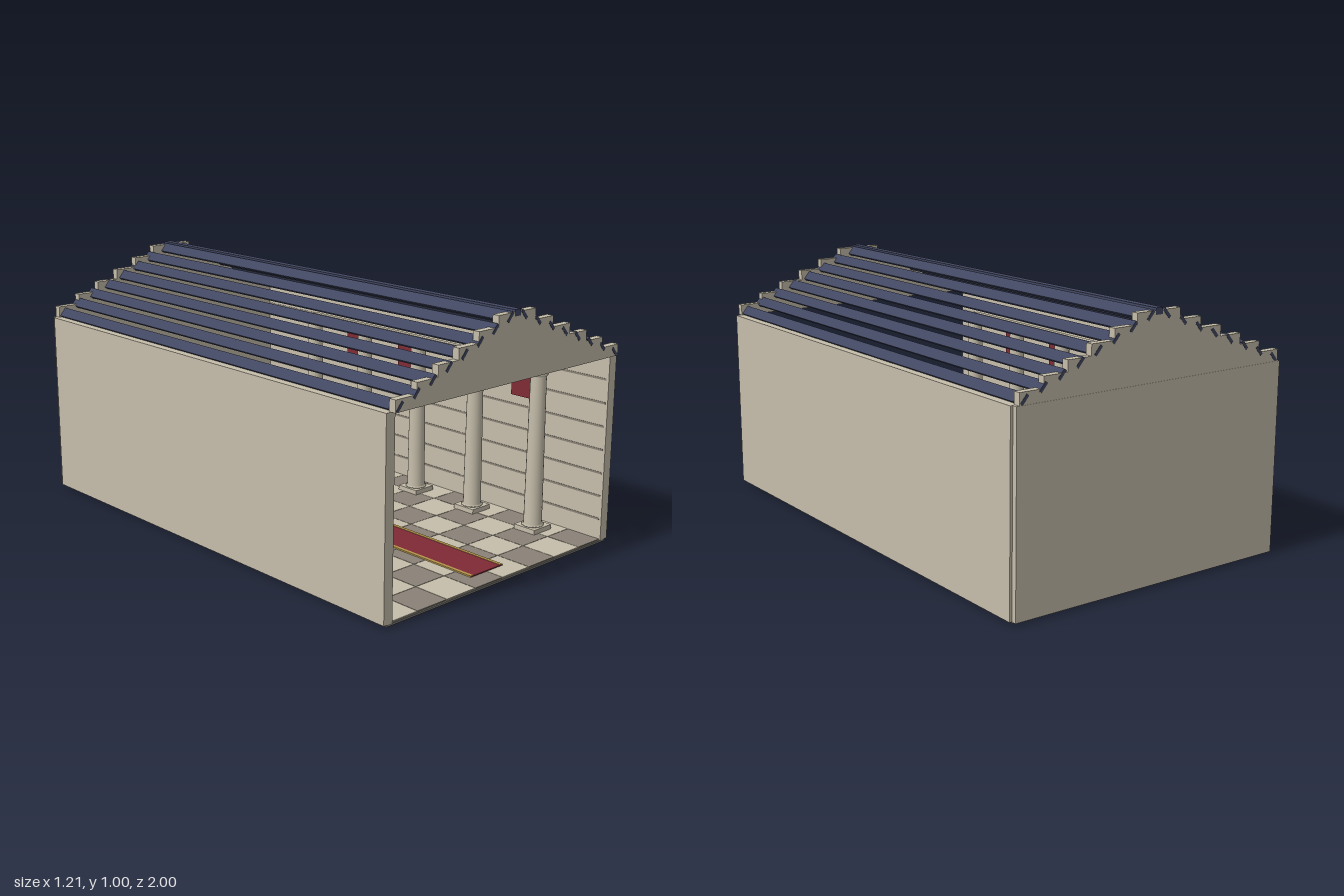
import * as THREE from 'three';

export function createModel() {
  const root = new THREE.Group();
  const mat = (name, color) => {
    const m = new THREE.MeshStandardMaterial({ color });
    m.name = name;
    return m;
  };
  const stone = mat('warm stone', 0xc6beab);
  const darkStone = mat('dark tile', 0x8a8277);
  const ground = mat('foundation', 0x76736b);
  const blue = mat('roof blue', 0x424862);
  const red = mat('red cloth', 0x7f2a35);
  const gold = mat('gold trim', 0xb5954a);

  const add = (name, geo, m, x = 0, y = 0, z = 0, parent = root) => {
    const mesh = new THREE.Mesh(geo, m);
    mesh.name = name;
    mesh.position.set(x, y, z);
    parent.add(mesh);
    return mesh;
  };
  // box given by its limits
  const box = (name, m, x0, x1, y0, y1, z0, z1, parent = root) =>
    add(name, new THREE.BoxGeometry(x1 - x0, y1 - y0, z1 - z0), m,
      (x0 + x1) / 2, (y0 + y1) / 2, (z0 + z1) / 2, parent);

  // foundation and chequered floor
  box('foundation', ground, -0.59, 0.59, 0, 0.008, -0.98, 0.98);
  const floor = new THREE.Group();
  floor.name = 'floorTiles';
  root.add(floor);
  const tw = 1.17 / 8, td = 1.95 / 13;
  for (let c = 0; c < 8; c++) for (let r = 0; r < 13; r++) {
    const x = -0.585 + c * tw, z = -0.975 + r * td;
    box('tile', (c + r) % 2 ? darkStone : stone,
      x + 0.001, x + tw - 0.001, 0.006, 0.012, z + 0.001, z + td - 0.001, floor);
  }

  // walls with dark course lines on the inside
  for (const s of [-1, 1]) {
    const wall = box('sideWall', stone, -0.02, 0.02, 0.008, 0.74, -0.98, 0.98);
    wall.position.x = s * 0.585;
    for (let i = 1; i < 8; i++)
      box('courseLine', darkStone, s * 0.565 - 0.0015, s * 0.565 + 0.0015,
        i * 0.092 - 0.004, i * 0.092 + 0.004, -0.97, 0.97);
  }
  box('backWall', stone, -0.595, 0.595, 0.008, 0.74, -1, -0.972);

  // stepped gables
  const outline = [];
  for (let i = 0; i < 6; i++) {
    const x = 0.584 - i * 0.0975, y = 0.784 + i * 0.0406;
    outline.push([x, i ? y - 0.0406 : 0.74], [x, y]);
  }
  const gable = new THREE.Shape([
    ...outline.map(([x, y]) => new THREE.Vector2(x, y)),
    ...outline.slice().reverse().map(([x, y]) => new THREE.Vector2(-x, y)),
  ]);
  const gableGeo = new THREE.ExtrudeGeometry(gable, { depth: 0.028, bevelEnabled: false });
  add('frontGable', gableGeo, stone, 0, 0, 0.971);
  add('backGable', gableGeo, stone, 0, 0, -0.999);

  // roof slats and ridge
  const slatGeo = new THREE.BoxGeometry(0.04, 0.012, 2);
  for (const s of [-1, 1]) for (let i = 0; i < 8; i++) {
    const slat = add('roofSlat', slatGeo, blue, s * (0.563 - i * 0.0752), 0.758 + i * 0.0307, 0);
    slat.rotation.z = -s * 0.87;
  }
  box('ridgeBeam', blue, -0.015, 0.015, 0.972, 0.996, -1, 1);

  // columns, beams and wall banners on both sides
  const profile = [[0, 0.03], [0.043, 0.03], [0.043, 0.036], [0.036, 0.038],
    [0.035, 0.2], [0.031, 0.632], [0.036, 0.636], [0.038, 0.643], [0.036, 0.65], [0, 0.65]];
  const shaftGeo = new THREE.LatheGeometry(profile.map(([x, y]) => new THREE.Vector2(x, y)), 20);
  for (const s of [-1, 1]) {
    for (let i = 0; i < 5; i++) {
      const column = new THREE.Group();
      column.name = 'column';
      column.position.set(s * 0.463, 0, 0.73 - i * 0.317);
      root.add(column);
      box('plinth', stone, -0.051, 0.051, 0.01, 0.031, -0.051, 0.051, column);
      add('shaft', shaftGeo, stone, 0, 0, 0, column);
      box('capital', stone, -0.039, 0.039, 0.65, 0.665, -0.039, 0.039, column);
      if (i < 4) {
        const x = s * 0.56, z = 0.57 - i * 0.317;
        box('wallBanner', red, x - 0.003, x + 0.003, 0.5, 0.64, z - 0.05, z + 0.05);
      }
    }
    box('columnBeam', stone, s * 0.463 - 0.011, s * 0.463 + 0.011, 0.665, 0.68, -0.54, 0.73);
  }

  // carpet with gold edging
  box('carpet', red, -0.085, 0.085, 0.012, 0.016, -0.55, 0.9);
  for (const s of [-1, 1])
    box('carpetTrim', gold, s * 0.08 - 0.007, s * 0.08 + 0.007, 0.012, 0.0175, -0.55, 0.9);

  // dais: straight steps alternating with rounded darker tiers
  box('daisStep', stone, -0.29, 0.29, 0.01, 0.03, -0.9, -0.55);
  for (const [r, y0] of [[0.256, 0.03], [0.185, 0.081]]) {
    const tier = add('daisTier', new THREE.CylinderGeometry(r, r, 0.0255, 40), darkStone,
      0, y0 + 0.01275, -0.76);
    tier.scale.z = 0.46;
  }
  box('daisMiddle', stone, -0.22, 0.22, 0.0555, 0.081, -0.88, -0.64);
  box('daisTop', stone, -0.268, 0.268, 0.1065, 0.119, -0.88, -0.64);

  // throne
  const throne = new THREE.Group();
  throne.name = 'throne';
  root.add(throne);
  box('seat', stone, -0.058, 0.058, 0.119, 0.132, -0.85, -0.75, throne);
  box('cushion', red, -0.054, 0.054, 0.132, 0.142, -0.845, -0.748, throne);
  box('backrest', stone, -0.053, 0.053, 0.132, 0.3, -0.85, -0.832, throne);
  box('crest', stone, -0.058, 0.058, 0.296, 0.314, -0.853, -0.829, throne);
  for (const s of [-1, 1])
    box('armrest', stone, s * 0.054 - 0.007, s * 0.054 + 0.007, 0.132, 0.19, -0.84, -0.755, throne);

  // canopy on four posts with a pointed red drape
  const canopy = new THREE.Group();
  canopy.name = 'canopy';
  root.add(canopy);
  const postGeo = new THREE.CylinderGeometry(0.007, 0.007, 0.281, 12);
  for (const x of [-0.083, 0.083]) for (const z of [-0.765, -0.86])
    add('canopyPost', postGeo, darkStone, x, 0.2595, z, canopy);
  box('canopyTop', stone, -0.108, 0.108, 0.398, 0.41, -0.875, -0.756, canopy);
  const drape = new THREE.Shape([[-0.108, 0.398], [-0.108, 0.348], [0, 0.315], [0.108, 0.348], [0.108, 0.398]]
    .map(([x, y]) => new THREE.Vector2(x, y)));
  add('drape', new THREE.ExtrudeGeometry(drape, { depth: 0.016, bevelEnabled: false }), red, 0, 0, -0.756, canopy);
  add('finial', new THREE.SphereGeometry(0.011, 16, 10), stone, 0, 0.416, -0.81, canopy);

  return root;
}
